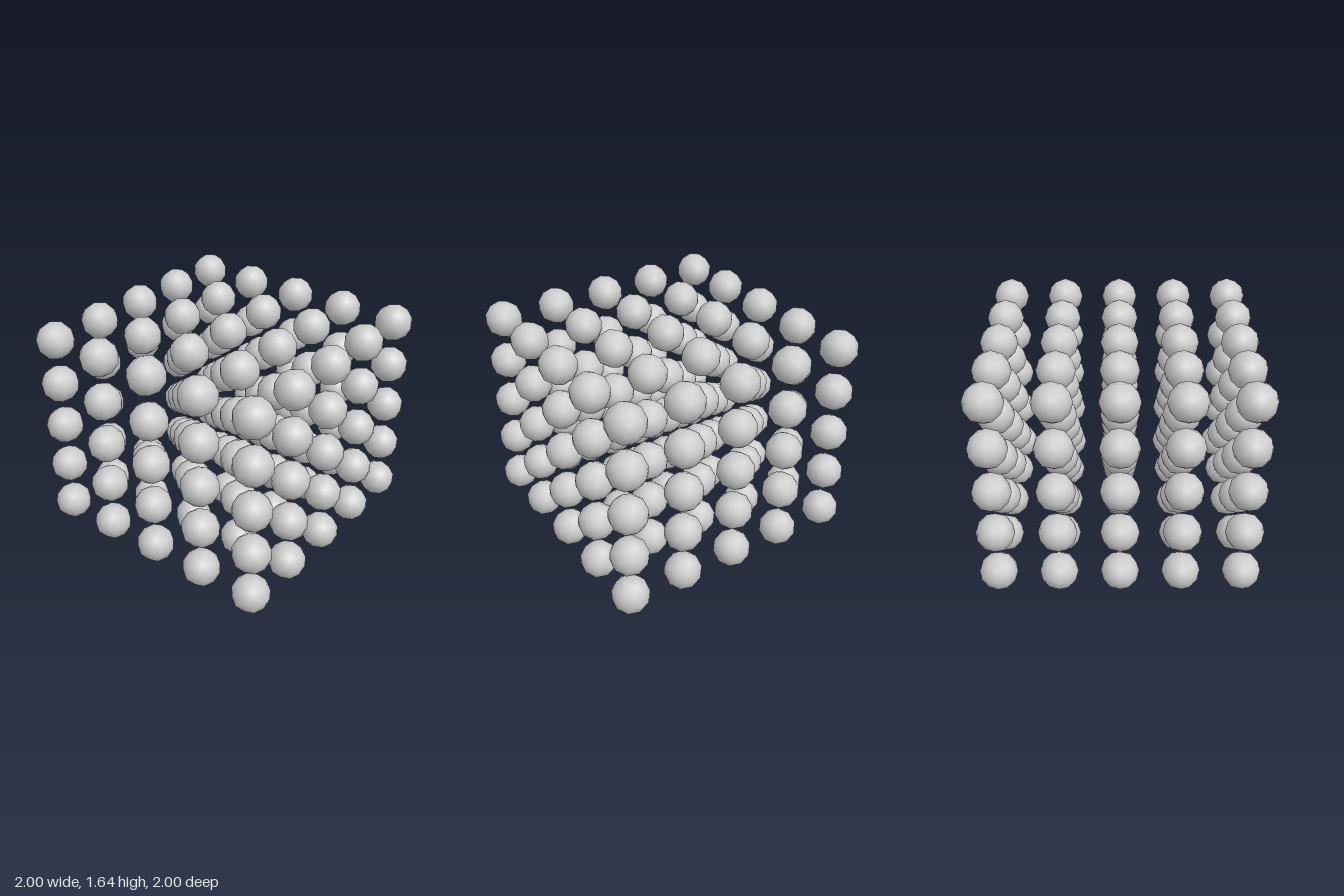
import * as THREE from 'three';

const COUNT = 5;        // balls along each axis
const RADIUS = 0.137;
const STEP = 0.4315;    // spacing in x and z
const RISE = 0.345;     // spacing between layers

export function createModel() {
  const model = new THREE.Group();
  model.name = 'ballLattice';
  const material = new THREE.MeshStandardMaterial({ color: 0xcccccc });

  // low-poly smooth ball, turned so that one corner points straight to the front
  const ball = new THREE.IcosahedronGeometry(RADIUS, 1);
  ball.rotateX(-Math.atan(2 / (1 + Math.sqrt(5))));
  ball.computeBoundingBox();
  const bottom = -ball.boundingBox.min.y;

  const mid = (COUNT - 1) / 2;
  for (let j = 0; j < COUNT; j++) {
    // one horizontal layer of balls
    const layer = new THREE.Group();
    layer.name = `layer${j + 1}`;
    layer.position.y = bottom + j * RISE;
    for (let i = 0; i < COUNT; i++) {
      for (let k = 0; k < COUNT; k++) {
        const mesh = new THREE.Mesh(ball, material);
        mesh.name = 'ball';
        mesh.position.set((i - mid) * STEP, 0, (k - mid) * STEP);
        layer.add(mesh);
      }
    }
    model.add(layer);
  }
  return model;
}
